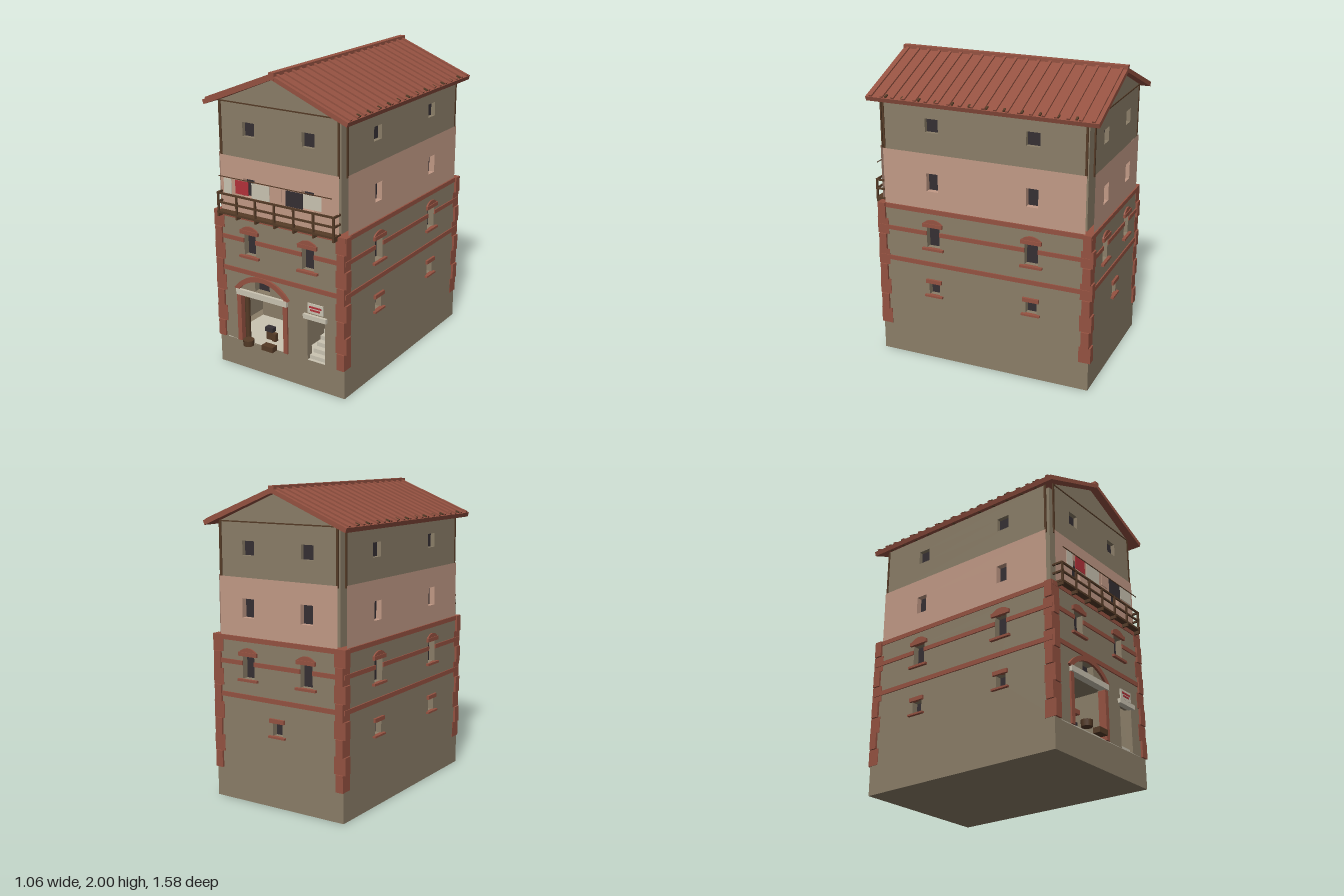
import * as THREE from 'three';

const mat = (name, color, double) => {
  const m = new THREE.MeshStandardMaterial({ color });
  m.name = name;
  if (double) m.side = THREE.DoubleSide;
  return m;
};

export function createModel() {
  const stone = mat('grey stone', 0x8b7e68, true), plaster = mat('pink plaster', 0xc29a86, true);
  const brick = mat('red brick', 0x955241), glass = mat('dark glass', 0x352f33, true);
  const wood = mat('brown wood', 0x553b27), cream = mat('cream stone', 0xcbc4b2, true);
  const red = mat('red cloth', 0xb4323a, true);

  const model = new THREE.Group();
  model.name = 'towerHouse';
  const house = new THREE.Group(); // everything is symmetric about z = -0.02
  house.name = 'house';
  house.position.z = -0.02;
  model.add(house);

  const add = (parent, name, geo, m, x = 0, y = 0, z = 0) => {
    const mesh = new THREE.Mesh(geo, m);
    mesh.name = name;
    mesh.position.set(x, y, z);
    parent.add(mesh);
    return mesh;
  };
  // box given by its limits
  const box = (parent, name, m, x0, x1, y0, y1, z0, z1) =>
    add(parent, name, new THREE.BoxGeometry(x1 - x0, y1 - y0, z1 - z0), m,
      (x0 + x1) / 2, (y0 + y1) / 2, (z0 + z1) / 2);
  const rect = (C, x0, x1, y0, y1) => {
    const s = new C();
    s.moveTo(x0, y0); s.lineTo(x1, y0); s.lineTo(x1, y1); s.lineTo(x0, y1); s.closePath();
    return s;
  };
  const extrude = (shape, depth) =>
    new THREE.ExtrudeGeometry(shape, { depth, bevelEnabled: false, curveSegments: 10 });

  // Thin wall with recessed openings; an opening is {x, w, y0, y1, open}
  const wall = (name, side, m, w, y0, y1, dist, depth, openings) => {
    const g = new THREE.Group();
    g.name = name;
    g.rotation.y = side * Math.PI / 2;
    g.position.set(Math.sin(g.rotation.y) * dist, 0, Math.cos(g.rotation.y) * dist);
    house.add(g);
    const s = rect(THREE.Shape, -w / 2, w / 2, y0, y1);
    for (const o of openings) {
      const a = o.x - o.w / 2, b = o.x + o.w / 2;
      s.holes.push(rect(THREE.Path, a, b, o.y0, o.y1));
      const frame = rect(THREE.Shape, a - 0.002, b + 0.002, o.y0 - 0.002, o.y1 + 0.002);
      frame.holes.push(rect(THREE.Path, a, b, o.y0, o.y1));
      add(g, 'reveal', extrude(frame, depth), m, 0, 0, -depth);
      if (!o.open) add(g, 'windowPane', new THREE.PlaneGeometry(o.w, o.y1 - o.y0), glass, o.x, (o.y0 + o.y1) / 2, -depth + 0.002);
    }
    add(g, 'wallFace', new THREE.ShapeGeometry(s), m);
    return g;
  };

  // Curved brick arch; inner = 0 gives a filled segment
  const arch = (parent, name, x, top, half, rise, thick, depth) => {
    const R = (half * half + rise * rise) / (2 * rise), a = Math.asin(half / R);
    const s = new THREE.Shape();
    s.absarc(0, 0, R, Math.PI / 2 - a, Math.PI / 2 + a, false);
    if (thick) s.absarc(0, 0, R - thick, Math.PI / 2 + a, Math.PI / 2 - a, true);
    add(parent, name, extrude(s, depth), brick, x, top - R, 0);
  };

  // Base and inner core
  box(house, 'base', stone, -0.485, 0.485, 0, 0.19, -0.73, 0.73);
  box(house, 'upperCore', stone, -0.43, 0.43, 1.05, 1.77, -0.68, 0.68);

  for (let side = 0; side < 4; side++) {
    const flank = side % 2 === 1, front = side === 0;
    const xs = flank ? [-0.34, 0.34] : [-0.22, 0.22];
    const far = flank ? 0.485 : 0.73;
    const W = flank ? 1.46 : 0.97, P = flank ? 1.37 : 0.88;
    const high = xs.map(x => ({ x, w: 0.09, y0: 0.80, y1: 0.945 }));
    const low = front ? [] : (flank ? xs : [0]).map(x => ({ x, w: 0.075, y0: 0.465, y1: 0.55 }));
    const entries = front ? [
      { x: -0.135, w: 0.335, y0: 0.195, y1: 0.525, open: true },
      { x: 0.275, w: 0.13, y0: 0.195, y1: 0.49, open: true },
      { x: -0.133, w: 0.115, y0: 0.565, y1: 0.64 }] : [];

    // Lower storey with sills, lintels and arches
    const g = wall('lowerWall', side, stone, W, 0.19, 1.06, far, 0.045, [...high, ...low, ...entries]);
    for (const { x } of high) {
      box(g, 'sill', brick, x - 0.075, x + 0.075, 0.785, 0.80, -0.01, 0.02);
      box(g, 'lintel', brick, x - 0.07, x + 0.07, 0.945, 0.97, -0.01, 0.016);
      arch(g, 'windowArch', x, 0.997, 0.065, 0.027, 0, 0.01);
    }
    for (const { x } of low) {
      box(g, 'sill', brick, x - 0.063, x + 0.063, 0.454, 0.466, -0.01, 0.02);
      box(g, 'lintel', brick, x - 0.055, x + 0.055, 0.55, 0.576, -0.01, 0.016);
    }
    // Brick string courses, the upper one broken by the windows
    const e = W / 2;
    box(g, 'stringCourse', brick, -e, e, 0.67, 0.70, 0, 0.008);
    for (const [a, b] of [[-e, xs[0] - 0.045], [xs[0] + 0.045, xs[1] - 0.045], [xs[1] + 0.045, e]])
      box(g, 'stringCourse', brick, a, b, 0.885, 0.913, 0, 0.008);

    // Plastered storey and top storey
    wall('middleWall', side, plaster, P, 1.06, 1.435, far - 0.005, 0.04,
      xs.map(x => ({ x, w: flank ? 0.08 : 0.09, y0: 1.185, y1: 1.305 })));
    const t = wall('topWall', side, stone, P, 1.425, 1.775, far - 0.015, 0.03,
      xs.map(x => ({ x, w: 0.09, y0: 1.57, y1: 1.66 })));
    for (const s of [-1, 1])
      box(t, 'cornerPost', wood, s * (P / 2 - 0.007) - 0.007, s * (P / 2 - 0.007) + 0.007, 1.42, 1.775, -0.004, 0.004);
    if (!flank) {
      const tri = new THREE.Shape([[-0.44, 1.775], [0.44, 1.775], [0, 1.958]].map(p => new THREE.Vector2(...p)));
      add(t, 'gable', new THREE.ShapeGeometry(tri), stone);
      box(t, 'gableBeam', wood, -0.44, 0.44, 1.771, 1.779, -0.004, 0.004);
    }
  }
  box(house, 'ledge', brick, -0.49, 0.49, 1.035, 1.065, -0.735, 0.735);

  // Corner quoins, long and short in turn
  for (const sx of [-1, 1]) for (const sz of [-1, 1]) for (let i = 0; i < 8; i++) {
    const wide = i % 2 === 1, h = 0.87 / 8;
    const w = wide ? 0.08 : 0.053, d = wide ? 0.053 : 0.08;
    add(house, 'quoin', new THREE.BoxGeometry(w, h, d), brick,
      sx * ((wide ? 0.5 : 0.488) - w / 2), 0.195 + h * (i + 0.5), sz * ((wide ? 0.733 : 0.744) - d / 2));
  }

  // Roof slab, tile ribs, ridge and rafter tails
  const chevron = (lift, thick, depth) => extrude(new THREE.Shape([
    [0, 1.985 + lift], [-0.53, 1.775 + lift], [-0.52, 1.775 - thick], [0, 1.985 - thick],
    [0.52, 1.775 - thick], [0.53, 1.775 + lift]].map(p => new THREE.Vector2(...p))), depth);
  add(house, 'roof', chevron(0, 0.028, 1.534), brick, 0, 0, -0.767);
  const rib = chevron(0.011, 0.01, 0.02);
  for (let i = 0; i < 20; i++) add(house, 'tileRib', rib, brick, 0, 0, -0.741 + i * 0.077);
  box(house, 'ridge', brick, -0.02, 0.02, 1.955, 2.0, -0.768, 0.768);
  for (const s of [-1, 1]) for (let i = 0; i < 12; i++) {
    const r = add(house, 'rafterTail', new THREE.BoxGeometry(0.026, 0.045, 0.013), wood, s * 0.505, 1.771, -0.627 + i * 0.114);
    r.rotation.z = -s * 0.377;
  }

  // Workshop entrance
  const F = 0.73; // front wall plane
  for (const x of [-0.315, 0.047])
    box(house, 'entrancePier', brick, x - 0.016, x + 0.016, 0.195, 0.52, F - 0.04, F + 0.012);
  box(house, 'entranceLintel', cream, -0.33, 0.065, 0.522, 0.56, F - 0.03, F + 0.02);
  const front = new THREE.Group();
  front.name = 'entranceArch';
  front.position.z = F;
  house.add(front);
  arch(front, 'archBricks', -0.133, 0.672, 0.213, 0.107, 0.032, 0.015);

  // Workshop interior
  box(house, 'workshopFloor', cream, -0.42, 0.42, 0.19, 0.197, 0.35, F);
  box(house, 'workshopBackWall', stone, -0.42, 0.42, 0.19, 0.6, 0.35, 0.36);
  box(house, 'partition', stone, 0.1, 0.12, 0.19, 0.6, 0.36, F - 0.01);
  box(house, 'workshopCeiling', stone, -0.42, 0.42, 0.55, 0.56, 0.35, F - 0.05);
  box(house, 'forge', brick, -0.09, 0.05, 0.197, 0.295, 0.37, 0.53);
  box(house, 'forgeHood', brick, -0.105, 0.05, 0.408, 0.438, 0.37, 0.54);
  box(house, 'forgeChimney', brick, -0.05, 0.05, 0.438, 0.55, 0.37, 0.5);
  add(house, 'post', new THREE.CylinderGeometry(0.018, 0.018, 0.3, 10), wood, -0.28, 0.345, 0.70);
  [[-0.235, 0.36], [-0.205, 0.37], [-0.175, 0.355]].forEach(([x, y]) =>
    box(house, 'hangingTool', wood, x - 0.004, x + 0.004, y, y + 0.065, 0.36, 0.37));
  box(house, 'anvilBlock', wood, -0.18, -0.14, 0.197, 0.25, 0.6, 0.64);
  box(house, 'anvil', glass, -0.19, -0.13, 0.25, 0.28, 0.6, 0.64);
  box(house, 'bucket', wood, -0.13, -0.1, 0.197, 0.25, 0.62, 0.65);
  add(house, 'tub', new THREE.CylinderGeometry(0.037, 0.034, 0.04, 14), wood, -0.225, 0.215, 0.77);
  box(house, 'crate', wood, -0.11, -0.025, 0.197, 0.232, 0.735, 0.785);

  // Side door with stairs and sign
  for (let i = 0; i < 6; i++)
    box(house, 'stairStep', cream, 0.212, 0.338, 0.197, 0.222 + i * 0.028, 0.67 - i * 0.04, 0.71 - i * 0.04);
  box(house, 'doorLintel', cream, 0.19, 0.36, 0.485, 0.515, F - 0.02, F + 0.02);
  box(house, 'signBoard', cream, 0.217, 0.333, 0.525, 0.59, F, F + 0.008);
  box(house, 'signStripe', red, 0.23, 0.32, 0.562, 0.574, F + 0.008, F + 0.011);
  box(house, 'signStripe', red, 0.24, 0.31, 0.542, 0.554, F + 0.008, F + 0.011);

  // Balcony
  box(house, 'balconyDeck', wood, -0.44, 0.44, 1.062, 1.076, 0.70, 0.775);
  for (let i = 0; i < 7; i++) {
    const x = -0.431 + i * 0.1437;
    box(house, 'balconyPost', wood, x - 0.006, x + 0.006, 1.04, 1.2, 0.763, 0.775);
    box(house, 'balconyJoist', wood, x - 0.006, x + 0.006, 1.04, 1.062, 0.70, 0.775);
  }
  for (const y of [1.135, 1.195]) {
    box(house, 'balconyRail', wood, -0.44, 0.44, y - 0.006, y + 0.006, 0.764, 0.774);
    for (const s of [-0.434, 0.434])
      box(house, 'balconySideRail', wood, s - 0.006, s + 0.006, y - 0.006, y + 0.006, 0.70, 0.77);
  }

  // Washing line
  box(house, 'washingLine', wood, -0.42, 0.42, 1.306, 1.311, 0.767, 0.771);
  [[-0.38, -0.32, 1.205, cream], [-0.29, -0.19, 1.215, red], [-0.165, -0.03, 1.205, cream],
    [0, 0.062, 1.22, plaster], [0.09, 0.215, 1.205, glass], [0.217, 0.348, 1.215, cream]]
    .forEach(([a, b, y, m]) => box(house, 'washing', m, a, b, y, 1.302, 0.767, 0.771));

  return model;
}
